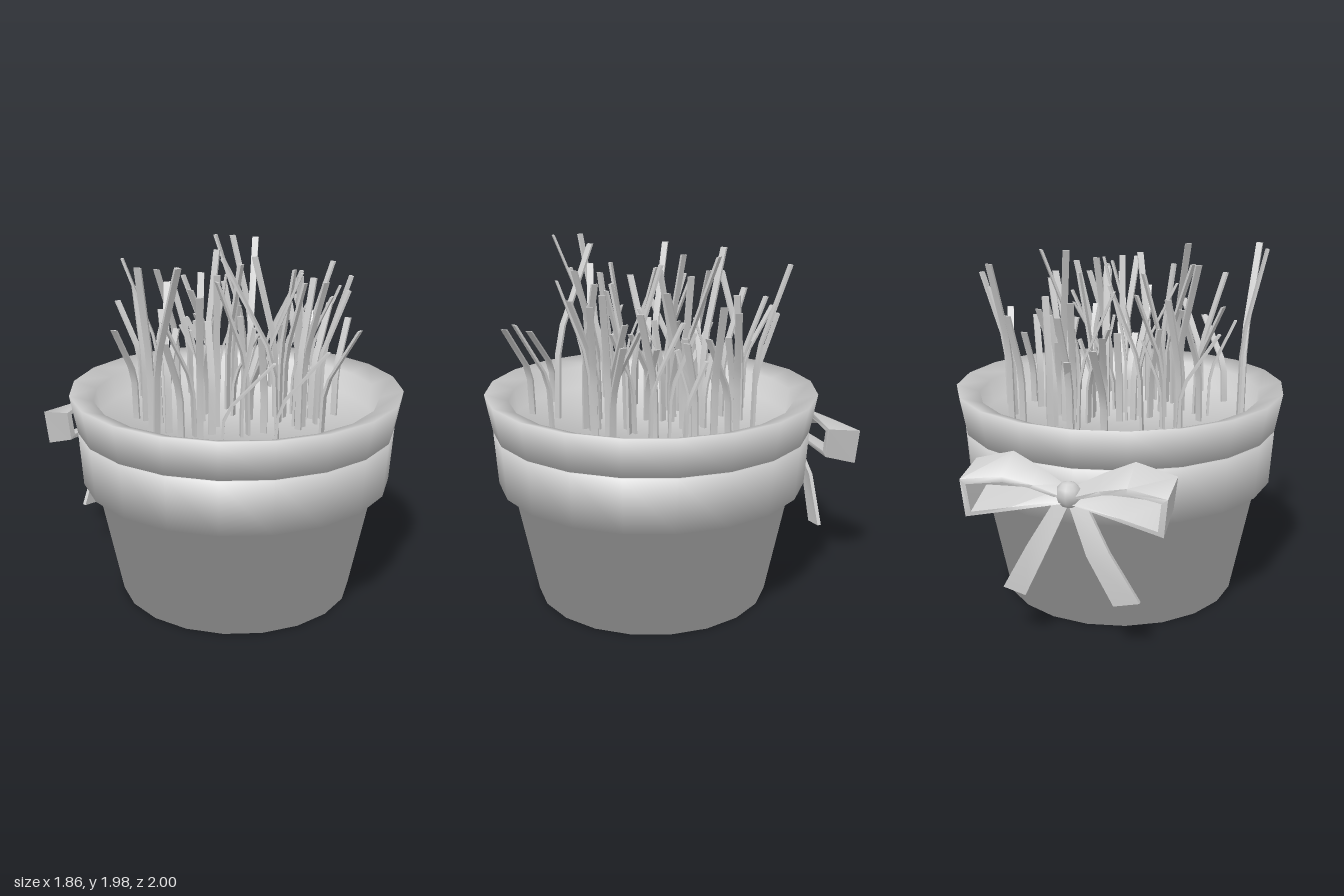
import * as THREE from 'three';
import { mergeGeometries, toCreasedNormals } from 'three/addons/utils/BufferGeometryUtils.js';

const CENTRE_Z = 0.07; // the bow sits behind the pot, so the pot is set forward
const SOIL_Y = 1.02;
const POT_SIDES = 20;

// Turned shape whose normals blend evenly across every profile corner
function turn(points) {
  const profile = points.map(([x, y]) => new THREE.Vector2(x, y));
  const geometry = new THREE.LatheGeometry(profile, POT_SIDES);
  const edges = profile.slice(1).map((p, i) => {
    const d = p.clone().sub(profile[i]).normalize();
    return new THREE.Vector2(d.y, -d.x);
  });
  const normals = profile.map((p, i) => {
    const a = edges[Math.max(i - 1, 0)], b = edges[Math.min(i, edges.length - 1)];
    return a.clone().add(b).normalize();
  });
  const attribute = geometry.attributes.normal;
  for (let i = 0; i < attribute.count; i++) {
    const n = normals[i % profile.length];
    const phi = Math.floor(i / profile.length) * Math.PI * 2 / POT_SIDES;
    attribute.setXYZ(i, n.x * Math.sin(phi), n.y, n.x * Math.cos(phi));
  }
  return geometry;
}

// Solid strip through a row of four-cornered sections, capped at its far end
function strip(sections, crease) {
  const index = [];
  for (let i = 0; i < sections.length - 1; i++) {
    for (let j = 0; j < 4; j++) {
      const a = i * 4 + j, b = i * 4 + (j + 1) % 4;
      index.push(a, b, b + 4, a, b + 4, a + 4);
    }
  }
  const k = (sections.length - 1) * 4;
  index.push(k, k + 1, k + 2, k, k + 2, k + 3);
  const geometry = new THREE.BufferGeometry();
  geometry.setAttribute('position', new THREE.Float32BufferAttribute(sections.flat(2), 3));
  geometry.setIndex(index);
  return toCreasedNormals(geometry, crease);
}

function seeded(seed) {
  return () => {
    seed = (seed * 16807) % 2147483647;
    return seed / 2147483647;
  };
}

const CORNERS = [[-1, -1], [-1, 1], [1, 1], [1, -1]];

// Blade: rises nearly straight, then bends across its flat side toward the tip
function blade(x0, z0, x1, z1, top) {
  const steps = [[0, 0], [0.38, 0.05], [0.55, 0.2], [1, 1]];
  const length = Math.hypot(x1 - x0, z1 - z0);
  const dx = (x1 - x0) / length, dz = (z1 - z0) / length;
  return strip(steps.map(([t, lean]) => CORNERS.map(([u, v]) => {
    const w = 0.018 * u, d = 0.007 * v;
    return [
      x0 + (x1 - x0) * lean - w * dz + d * dx,
      SOIL_Y + (top - SOIL_Y) * t,
      z0 + (z1 - z0) * lean + w * dx + d * dz,
    ];
  })), 0.6);
}

// Main blades: base x, base z, tip x, tip z, tip height
const MAIN_BLADES = [
  [-0.68, 0.10, -0.80, 0.15, 1.97], [-0.69, 0.14, -0.73, 0.35, 1.98],
  [-0.50, 0.13, -0.64, 0.16, 1.57], [-0.42, -0.30, -0.62, -0.24, 1.57],
  [-0.38, -0.14, -0.51, -0.28, 1.93], [-0.43, 0.20, -0.55, 0.32, 1.81],
  [-0.22, 0.55, -0.34, 0.28, 1.97], [-0.36, 0.65, -0.20, 0.85, 1.56],
  [-0.54, 0.45, -0.37, 0.65, 1.50], [0.00, 0.67, 0.03, 0.87, 1.63],
  [-0.10, -0.59, -0.10, -0.79, 1.57], [0.14, -0.42, 0.15, -0.58, 1.68],
  [0.08, -0.47, -0.11, -0.44, 1.80], [0.07, 0.43, 0.14, 0.61, 1.75],
  [0.13, 0.25, 0.14, 0.08, 1.90], [-0.12, 0.03, -0.33, 0.04, 1.78],
  [0.28, 0.02, 0.42, 0.19, 1.80], [0.22, -0.02, 0.39, -0.13, 1.96],
  [0.28, -0.10, 0.20, -0.27, 1.98], [0.44, -0.33, 0.47, -0.45, 1.65],
  [0.53, -0.27, 0.56, -0.46, 1.92], [0.56, -0.15, 0.73, -0.05, 1.73],
  [0.67, 0.05, 0.84, 0.10, 1.79], [0.60, -0.08, 0.66, 0.08, 1.60],
  [0.20, 0.40, 0.35, 0.31, 1.60], [0.37, 0.48, 0.49, 0.47, 1.56],
  [-0.08, -0.08, 0.04, -0.11, 1.93], [-0.10, 0.35, 0.00, 0.52, 1.88],
];

function grassGeometry() {
  const random = seeded(421);
  const blades = MAIN_BLADES.map((b) => blade(...b));
  // Filler blades scattered over the soil
  for (let i = 0; i < 46; i++) {
    const a = random() * Math.PI * 2, r = 0.56 * Math.sqrt(random());
    const x = r * Math.cos(a) + 0.02, z = 0.85 * r * Math.sin(a) + 0.04;
    const lean = 0.06 + 0.13 * random(), b = random() * Math.PI * 2;
    const top = 1.42 + 0.46 * random();
    blades.push(blade(x, z, x + lean * Math.cos(b), z + lean * Math.sin(b), top));
  }
  return mergeGeometries(blades);
}

// Loop of ribbon: x, front y, front z, back y, back z at each fold
const LOOP = [
  [0.03, 0.90, -0.85, 0.86, -0.92],
  [0.17, 0.97, -0.82, 0.91, -0.93],
  [0.32, 1.03, -0.79, 0.95, -0.96],
  [0.53, 0.97, -0.78, 0.93, -1.00],
  [0.51, 0.80, -0.78, 0.73, -0.99],
  [0.28, 0.82, -0.80, 0.77, -0.95],
  [0.03, 0.85, -0.85, 0.82, -0.92],
];

// Hanging tail: centre x, y, z and half width
const TAIL = [
  [0.03, 0.83, -0.86, 0.035],
  [0.16, 0.57, -0.91, 0.055],
  [0.30, 0.30, -0.88, 0.065],
];

function loopGeometry(side) {
  // Inner face of the ribbon, drawn in toward the middle of the loop
  const inner = (x, y, middle) => [side * (x + (0.3 - x) * 0.14), y + (middle - y) * 0.26];
  return strip(LOOP.map(([x, fy, fz, by, bz]) => {
    const rails = [
      [side * x, fy, fz], [side * x, by, bz],
      [...inner(x, by, 0.84), bz], [...inner(x, fy, 0.91), fz],
    ];
    return side > 0 ? rails : rails.reverse();
  }), 1.2);
}

function tailGeometry(side) {
  return strip(TAIL.map(([x, y, z, w]) => CORNERS.map(([u, v]) => [
    side * x + w * u, y + 0.01 * side * u, z + 0.012 * side * u + 0.012 * v,
  ])), 1);
}

export function createModel() {
  const model = new THREE.Group();
  const clayGrey = new THREE.MeshStandardMaterial({ color: 0xcccccc, side: THREE.DoubleSide });

  const add = (name, geometry, parent = model) => {
    const mesh = new THREE.Mesh(geometry, clayGrey);
    mesh.name = name;
    parent.add(mesh);
    return mesh;
  };

  // Pot: tapered body, band, flared rim and soil in one turned shape
  add('pot', turn([
    [0, 0], [0.665, 0], [0.80, 0.67], [0.87, 0.67], [0.89, 0.97], [0.87, 0.972],
    [0.89, 0.975], [0.93, 1.19], [0.80, 1.15], [0.78, SOIL_Y], [0, SOIL_Y],
  ])).position.z = CENTRE_Z;

  // Grass
  add('grass', grassGeometry());

  // Bow: mirrored loops and tails around a knot
  const bow = new THREE.Group();
  bow.name = 'bow';
  model.add(bow);
  for (const side of [1, -1]) {
    const label = side > 0 ? 'left' : 'right';
    add(label + 'Loop', loopGeometry(side), bow);
    add(label + 'Tail', tailGeometry(side), bow);
  }
  const knot = add('knot', new THREE.SphereGeometry(0.07, 8, 6), bow);
  knot.position.set(0, 0.86, -0.88);
  knot.scale.set(1, 1, 0.85);

  return model;
}
